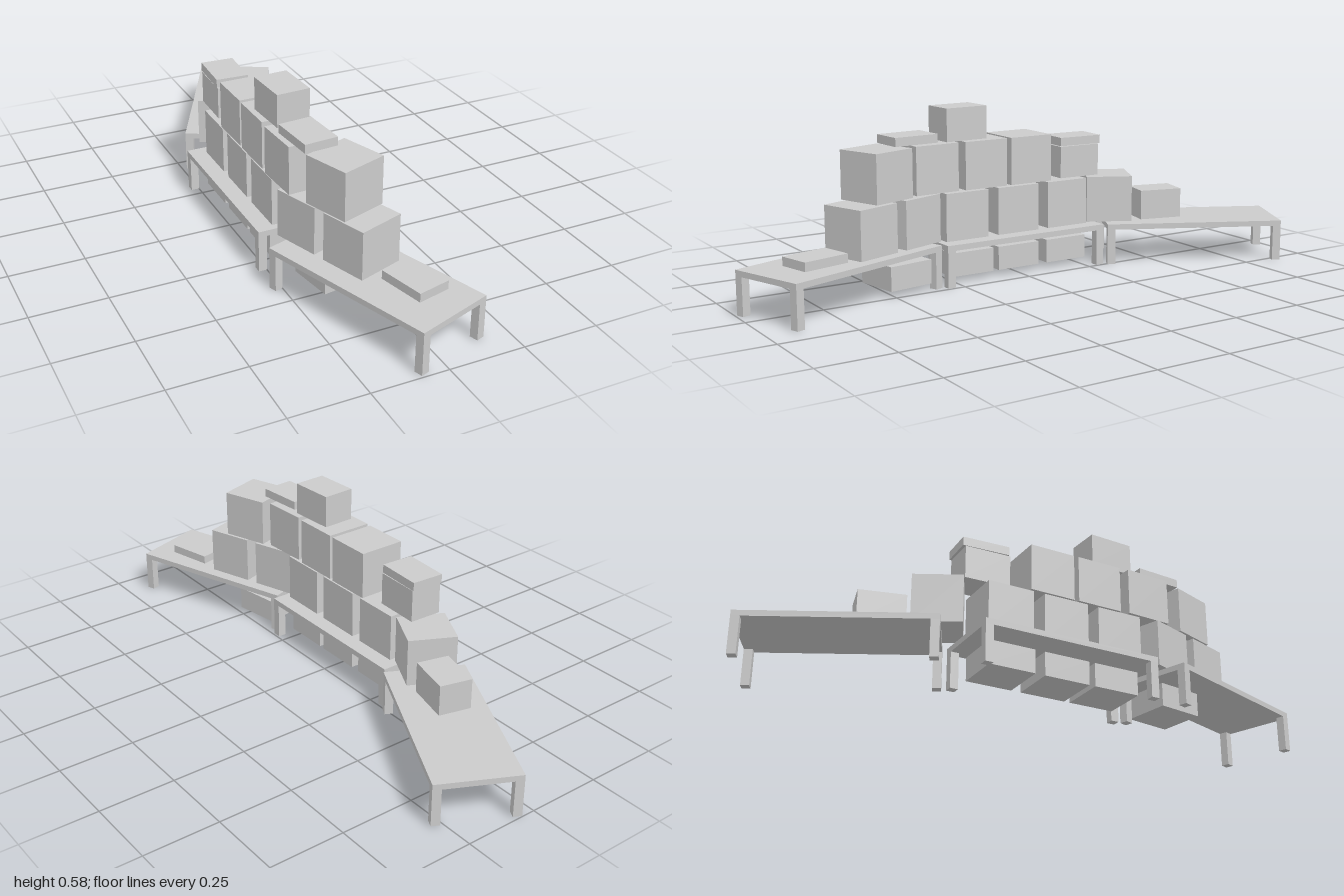
import * as THREE from 'three';

const material = new THREE.MeshStandardMaterial({ color: 0xcccccc, flatShading: true });

// Box centred on (x, z), resting at height y, turned about the vertical
function addBox(parent, name, [w, h, d], x, y, z, turn = 0) {
  const mesh = new THREE.Mesh(new THREE.BoxGeometry(w, h, d), material);
  mesh.name = name;
  mesh.position.set(x, y + h / 2, z);
  mesh.rotation.y = turn;
  parent.add(mesh);
}

// Long low table with four legs flush with its corners
function makeTable(name, x, z, turn) {
  const table = new THREE.Group();
  const w = 0.27, d = 0.62, leg = 0.028, legHeight = 0.123;
  table.name = name;
  addBox(table, 'tableTop', [w, 0.019, d], 0, legHeight, 0);
  for (const sx of [-1, 1]) {
    for (const sz of [-1, 1]) {
      addBox(table, 'tableLeg', [leg, legHeight, leg], sx * (w - leg) / 2, 0, sz * (d - leg) / 2);
    }
  }
  table.position.set(x, 0, z);
  table.rotation.y = turn;
  return table;
}

export function createModel() {
  const model = new THREE.Group();
  model.name = 'tablesWithBoxes';

  // Three tables set in a shallow arc
  model.add(
    makeTable('frontTable', -0.057, 0.656, 0.328),
    makeTable('middleTable', -0.142, -0.002, 0),
    makeTable('backTable', 0.025, -0.66, -0.467),
  );

  const cube = [0.16, 0.16, 0.16];
  const crate = [0.16, 0.08, 0.16];
  const small = [0.112, 0.11, 0.155];
  const flat = [0.112, 0.029, 0.16];

  // Each row: [x, z, turn]
  const lowerRow = [
    [-0.065, 0.586, 0.328], [-0.128, 0.397, 0.328], [-0.14, 0.203, 0],
    [-0.14, 0.004, 0], [-0.14, -0.195, 0], [-0.107, -0.394, -0.467],
  ];
  const upperRow = [
    [-0.089, 0.517, 0.328], [-0.14, 0.317, 0.05], [-0.14, 0.13, 0.01], [-0.14, -0.046, 0.01],
  ];
  const underRow = [
    [-0.095, 0.45, 0.16], [-0.14, 0.185, 0], [-0.14, 0.004, 0], [-0.14, -0.19, 0],
  ];
  for (const [x, z, turn] of lowerRow) addBox(model, 'lowerBox', cube, x, 0.142, z, turn);
  for (const [x, z, turn] of upperRow) addBox(model, 'upperBox', cube, x, 0.307, z, turn);
  for (const [x, z, turn] of underRow) addBox(model, 'boxUnderTable', crate, x, 0.021, z, turn);

  // Smaller boxes
  addBox(model, 'topBox', small, -0.142, 0.468, 0.191, 0.05);
  addBox(model, 'backStackBox', small, -0.145, 0.304, -0.268, -0.03);
  addBox(model, 'backTableBox', [0.11, 0.103, 0.153], -0.036, 0.142, -0.56, -0.24);

  // Flat boxes
  addBox(model, 'flatBoxOnUpperRow', flat, -0.142, 0.468, 0.378, 0.075);
  addBox(model, 'flatBoxOnBackStack', flat, -0.145, 0.416, -0.273, -0.05);
  addBox(model, 'flatBoxOnFrontTable', flat, 0.01, 0.149, 0.776, 0.24);

  return model;
}
